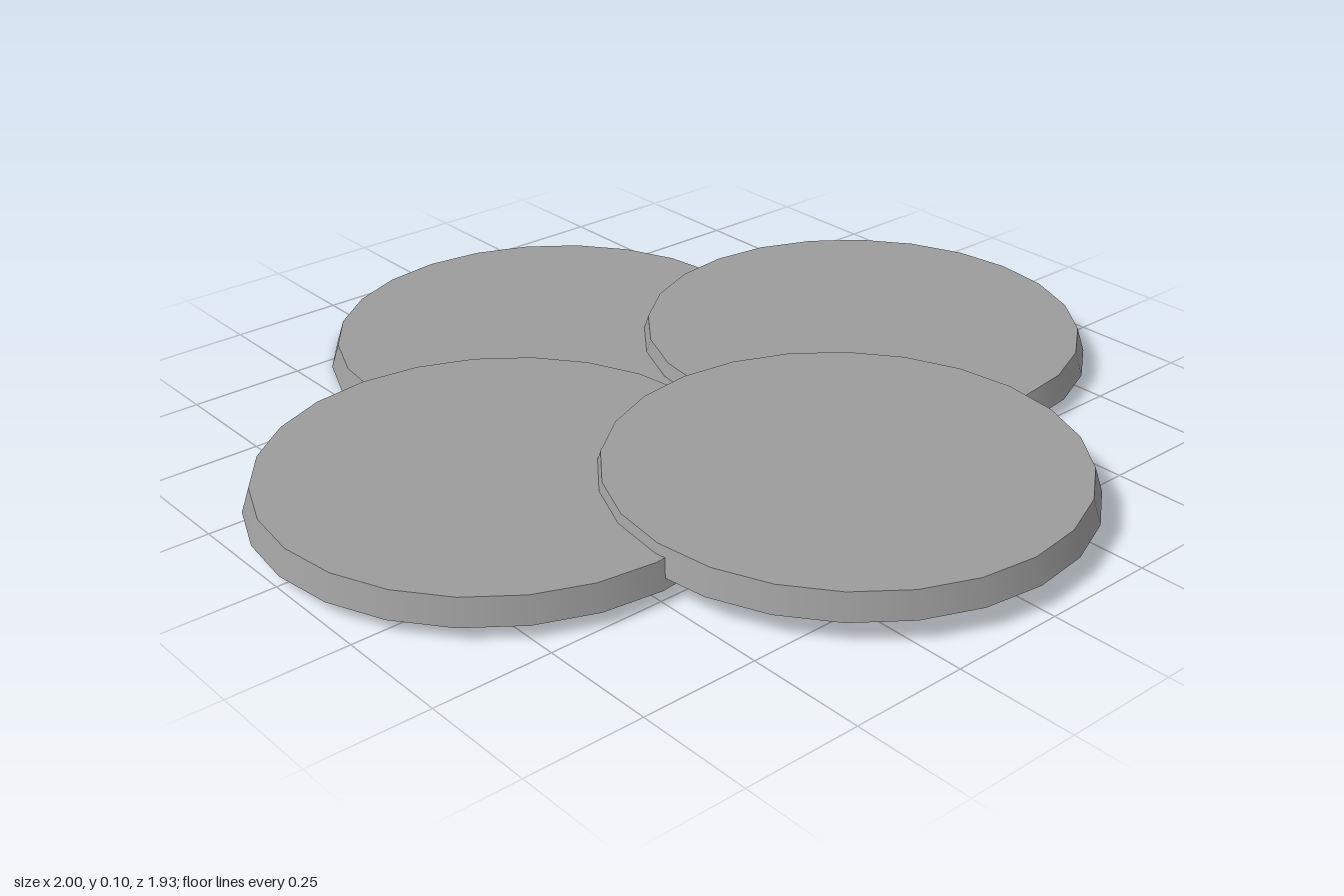
import * as THREE from 'three';

// Four overlapping tapered discs, stepping up from back to front
export function createModel() {
  const group = new THREE.Group();
  const material = new THREE.MeshStandardMaterial({ color: 0x9c9c9c });
  const height = 0.053;
  const geometry = new THREE.CylinderGeometry(0.48, 0.497, height, 24);
  geometry.translate(0, height / 2, 0);

  // name, centre x, underside y, centre z
  const discs = [
    ['backDisc', 0, 0, -0.468],
    ['leftDisc', 0.503, 0.029, 0.014],
    ['rightDisc', -0.503, 0.029, 0.014],
    ['frontDisc', 0, 0.048, 0.468],
  ];
  for (const [name, x, y, z] of discs) {
    const disc = new THREE.Mesh(geometry, material);
    disc.name = name;
    disc.position.set(x, y, z);
    group.add(disc);
  }
  return group;
}
